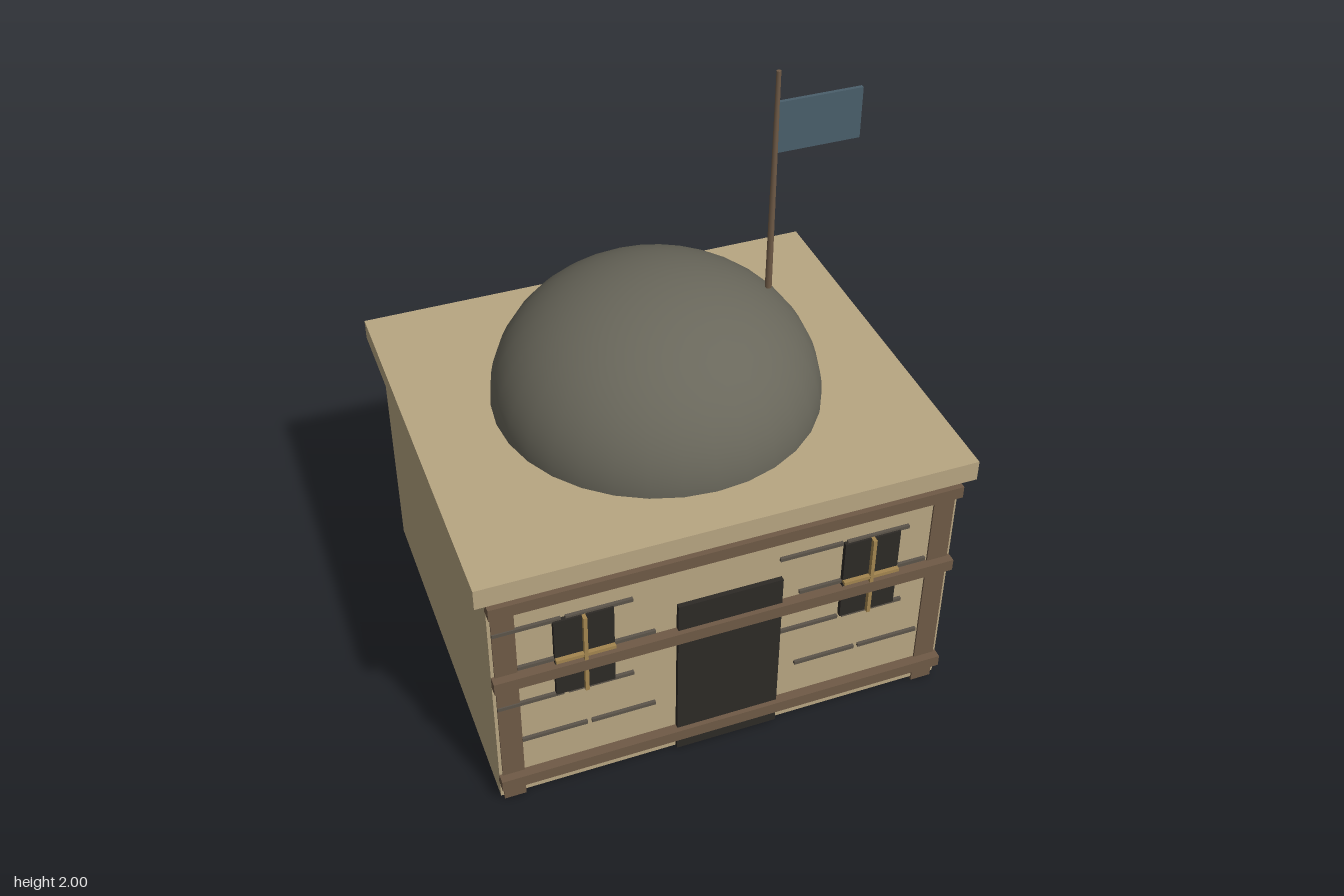
import * as THREE from 'three';

const mat = (color) => new THREE.MeshStandardMaterial({ color });

export function createModel() {
  const model = new THREE.Group();
  model.name = 'domedHouse';

  const sand = mat(0xb8a682);
  const wood = mat(0x6f5a46);
  const dark = mat(0x2d2a26);
  const mortar = mat(0x5c544a);
  const trim = mat(0xa3854f);
  const stone = mat(0x69675b);
  const cloth = mat(0x4a5f6b);

  const add = (name, geometry, material, x = 0, y = 0, z = 0) => {
    const mesh = new THREE.Mesh(geometry, material);
    mesh.name = name;
    mesh.position.set(x, y, z);
    model.add(mesh);
    return mesh;
  };

  // Box given by its extents on each axis
  const box = (name, material, [x0, x1], [y0, y1], [z0, z1]) =>
    add(name, new THREE.BoxGeometry(x1 - x0, y1 - y0, z1 - z0), material,
      (x0 + x1) / 2, (y0 + y1) / 2, (z0 + z1) / 2);

  // Walls and overhanging roof slab
  box('walls', sand, [-0.75, 0.75], [0.012, 0.88], [-0.64, 0.64]);
  box('roofSlab', sand, [-0.788, 0.788], [0.88, 0.95], [-0.675, 0.675]);

  // Flattened dome
  const dome = new THREE.SphereGeometry(0.525, 32, 16, 0, Math.PI * 2, 0, Math.PI / 2);
  dome.scale(1, 0.8, 1);
  add('dome', dome, stone, 0, 0.95, 0);

  // Timber frames running front to back through the walls
  for (const s of [-1, 1]) {
    box(s > 0 ? 'leftPosts' : 'rightPosts', wood,
      [s * 0.705 - 0.035, s * 0.705 + 0.035], [0, 0.879], [-0.646, 0.646]);
  }

  // Horizontal beams across the front
  for (const y of [0.09, 0.53, 0.837]) {
    box('frontBeam', wood, [-0.75, 0.75], [y - 0.021, y + 0.021], [0.63, 0.672]);
  }

  // Door
  box('door', dark, [-0.17, 0.17], [0.015, 0.65], [0.63, 0.656]);

  // Windows with crossed glazing bars
  for (const x of [-0.465, 0.465]) {
    box('window', dark, [x - 0.093, x + 0.093], [0.42, 0.725], [0.63, 0.656]);
    box('windowBarUpright', trim, [x - 0.006, x + 0.006], [0.42, 0.725], [0.65, 0.671]);
    box('windowBarLevel', trim, [x - 0.093, x + 0.093], [0.566, 0.578], [0.65, 0.67]);
  }

  // Staggered wall courses either side of the door
  [0.25, 0.413, 0.567, 0.726].forEach((y, row) => {
    for (const side of [-0.74, 0.16]) {
      for (let i = 0; i < 2; i++) {
        const x = side + (row % 2 ? 0 : 0.07) + i * 0.222;
        box('wallCourse', mortar, [x, x + 0.208], [y - 0.006, y + 0.006], [0.63, 0.65]);
      }
    }
  });

  // Flagpole and flag
  add('flagpole', new THREE.CylinderGeometry(0.0075, 0.0115, 0.75, 8), wood, 0.375, 1.625, 0);
  box('flag', cloth, [0.38, 0.648], [1.732, 1.9], [-0.006, 0.006]);

  return model;
}
